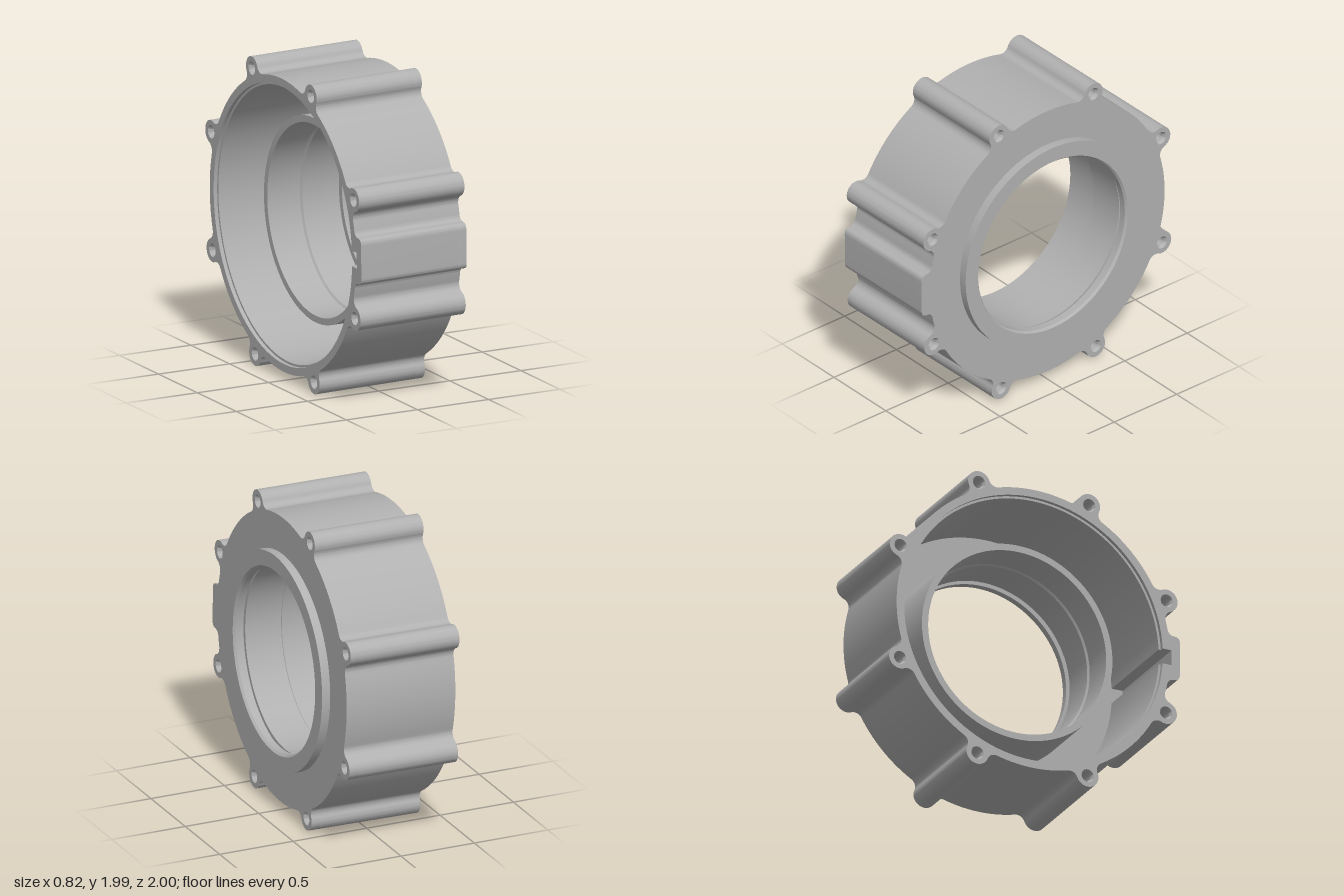
import * as THREE from 'three';
import { toCreasedNormals } from 'three/addons/utils/BufferGeometryUtils.js';

const BODY = 0.94, LUG_AT = 0.99, LUG = 0.075, FILLET = 0.055, HOLE = 0.042;
const BACK = -0.395, FACE = 0.345, WEB = 0.285, LIP = -0.37;
const lugAngles = Array.from({ length: 8 }, (_, k) => (k + 0.5) * Math.PI / 4);
const polar = (r, a) => new THREE.Vector2(r * Math.cos(a), r * Math.sin(a));
const heading = (from, to) => Math.atan2(to.y - from.y, to.x - from.x);

// Housing outline: a circle with eight filleted screw lugs and one key bump
function housingShape() {
  const s = new THREE.Shape();
  const rf = BODY + FILLET, rl = LUG + FILLET;
  const d = Math.acos((rf * rf + LUG_AT * LUG_AT - rl * rl) / (2 * rf * LUG_AT));
  lugAngles.forEach((a, k) => {
    const c = polar(LUG_AT, a), f1 = polar(rf, a - d), f2 = polar(rf, a + d);
    s.absarc(f1.x, f1.y, FILLET, a - d + Math.PI, heading(f1, c), true);
    s.absarc(c.x, c.y, LUG, heading(c, f1), heading(c, f2), false);
    s.absarc(f2.x, f2.y, FILLET, heading(f2, c), a + d - Math.PI, true);
    const next = a + Math.PI / 4 - d;
    if (k === 3) {
      s.absarc(0, 0, BODY, a + d, Math.PI - 0.19, false);
      s.quadraticCurveTo(-0.935, 0.15, -0.96, 0.148);
      s.lineTo(-0.972, 0.147);
      s.quadraticCurveTo(-1.008, 0.145, -1.008, 0.105);
      s.lineTo(-1.008, -0.105);
      s.quadraticCurveTo(-1.008, -0.145, -0.972, -0.147);
      s.lineTo(-0.96, -0.148);
      const e = polar(BODY, Math.PI + 0.19);
      s.quadraticCurveTo(-0.935, -0.15, e.x, e.y);
      s.absarc(0, 0, BODY, Math.PI + 0.19, next, false);
    } else s.absarc(0, 0, BODY, a + d, next, false);
  });
  s.closePath();
  for (const a of lugAngles) {
    const c = polar(LUG_AT, a);
    s.holes.push(new THREE.Path().absarc(c.x, c.y, HOLE, 0, Math.PI * 2, true));
  }
  return s;
}

// Round opening, optionally with a keyway cut into its edge
function opening(radius, keyHalf = 0) {
  const p = new THREE.Path();
  const g = keyHalf ? Math.asin(keyHalf / radius) : 0;
  const start = -Math.PI + g, step = (2 * Math.PI - 2 * g) / 8;
  for (let i = 0; i < 8; i++) p.absarc(0, 0, radius, start + i * step, start + (i + 1) * step, false);
  if (keyHalf) {
    p.lineTo(-0.95, keyHalf);
    p.lineTo(-0.95, -keyHalf);
  }
  p.closePath();
  return p;
}

export function createModel() {
  const model = new THREE.Group();
  model.name = 'bearingHousing';
  const metal = new THREE.MeshStandardMaterial({ color: 0xb0b0b0 });
  metal.name = 'grey metal';

  // Slight lean of the whole housing
  const housing = new THREE.Group();
  housing.name = 'housing';
  housing.position.set(0, 1.003, -0.008);
  housing.rotation.z = 0.0122;
  model.add(housing);

  const add = (name, geometry) => {
    const mesh = new THREE.Mesh(toCreasedNormals(geometry, 0.5), metal);
    mesh.name = name;
    housing.add(mesh);
    return mesh;
  };

  // Slice of the housing along x with a given opening
  const slice = (name, from, to, hole) => {
    const shape = housingShape();
    shape.holes.push(hole);
    const g = new THREE.ExtrudeGeometry(shape, { depth: to - from, bevelEnabled: false, curveSegments: 14 });
    g.translate(0, 0, from);
    g.rotateY(Math.PI / 2);
    add(name, g);
  };
  slice('rearRim', BACK, LIP, opening(0.89, 0.05));
  slice('outerWall', LIP, WEB, opening(0.875, 0.05));
  slice('frontPlate', WEB, FACE, opening(0.65));

  // Bearing sleeve and raised front collar, one turned profile
  const profile = [
    [0.655, -0.17], [0.655, 0.3], [0.7, 0.3], [0.7, 0.4], [0.6, 0.4],
    [0.588, 0.385], [0.588, 0.34], [0.625, 0.34], [0.625, 0.315], [0.6, 0.315],
    [0.6, 0.07], [0.612, 0.06], [0.612, -0.17], [0.655, -0.17],
  ].map(([r, x]) => new THREE.Vector2(r, x));
  const sleeve = new THREE.LatheGeometry(profile, 112);
  sleeve.rotateZ(-Math.PI / 2);
  add('sleeveAndCollar', sleeve);

  // Blind countersunk screw holes at both ends of each lug
  const bore = [[HOLE, 0], [0.031, -0.02], [0.031, -0.15], [0, -0.17]].map(([r, y]) => new THREE.Vector2(r, y));
  for (const a of lugAngles) {
    const c = polar(LUG_AT, a);
    for (const side of [1, -1]) {
      const g = new THREE.LatheGeometry(bore, 28);
      g.rotateZ(-side * Math.PI / 2);
      add(side > 0 ? 'frontScrewHole' : 'rearScrewHole', g).position.set(side > 0 ? FACE : BACK, c.y, -c.x);
    }
  }
  return model;
}
